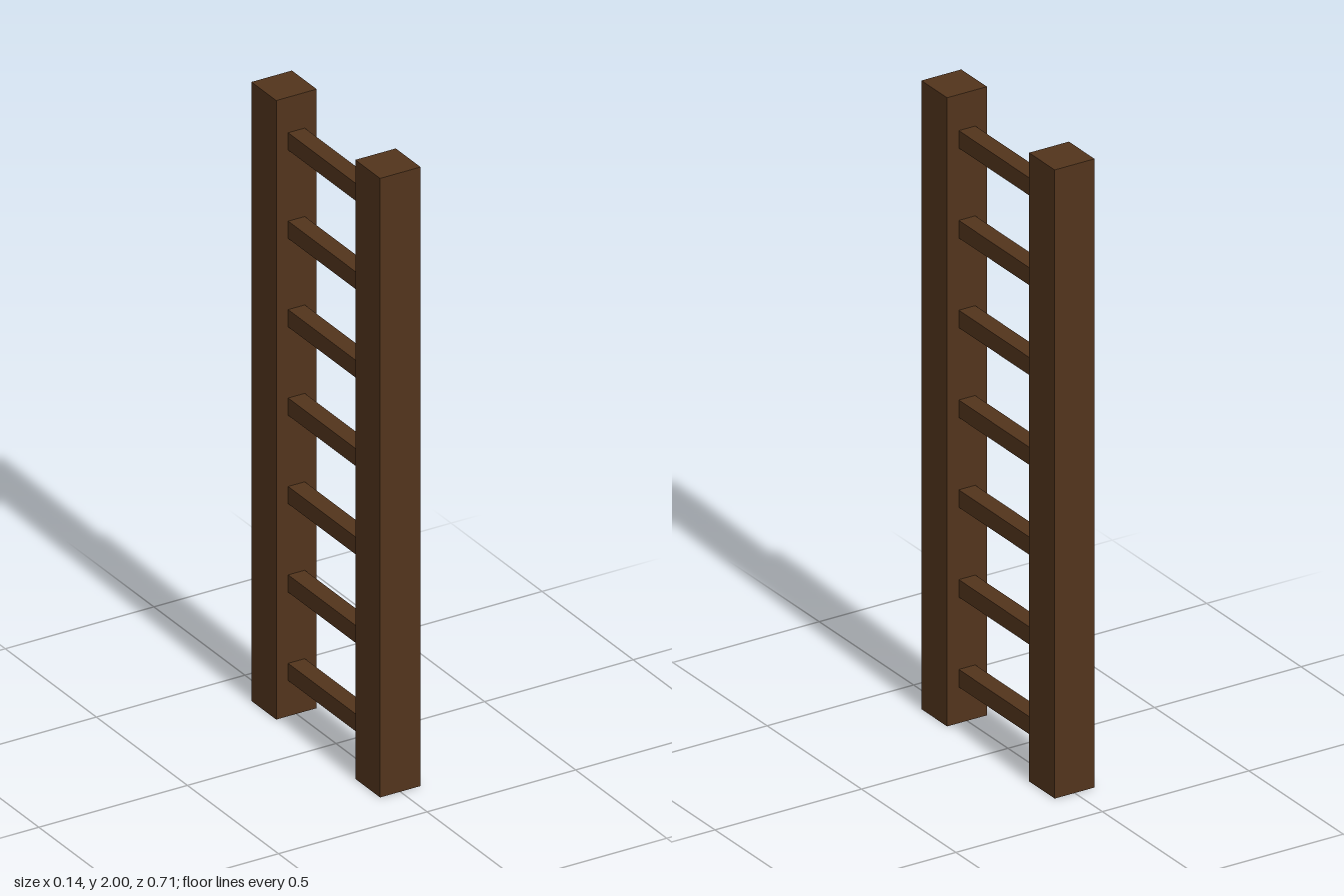
import * as THREE from 'three';

const HEIGHT = 2;
const RAIL = 0.136;      // square section of the uprights
const RAIL_Z = 0.285;    // centre of each upright
const RUNG = 0.056;      // square section of the rungs
const RUNG_COUNT = 7;

export function createModel() {
  const ladder = new THREE.Group();
  ladder.name = 'ladder';
  const wood = new THREE.MeshStandardMaterial({ color: 0x52341c, flatShading: true });

  const addBox = (name, w, h, d, y, z) => {
    const mesh = new THREE.Mesh(new THREE.BoxGeometry(w, h, d), wood);
    mesh.name = name;
    mesh.position.set(0, y, z);
    ladder.add(mesh);
  };

  // Uprights
  addBox('frontRail', RAIL, HEIGHT, RAIL, HEIGHT / 2, RAIL_Z);
  addBox('backRail', RAIL, HEIGHT, RAIL, HEIGHT / 2, -RAIL_Z);

  // Rungs, each centred in an equal share of the height
  const rungLength = 2 * RAIL_Z - RAIL;
  for (let i = 0; i < RUNG_COUNT; i++) {
    addBox(`rung${i + 1}`, RUNG, RUNG, rungLength, (i + 0.5) * HEIGHT / RUNG_COUNT, 0);
  }
  return ladder;
}
